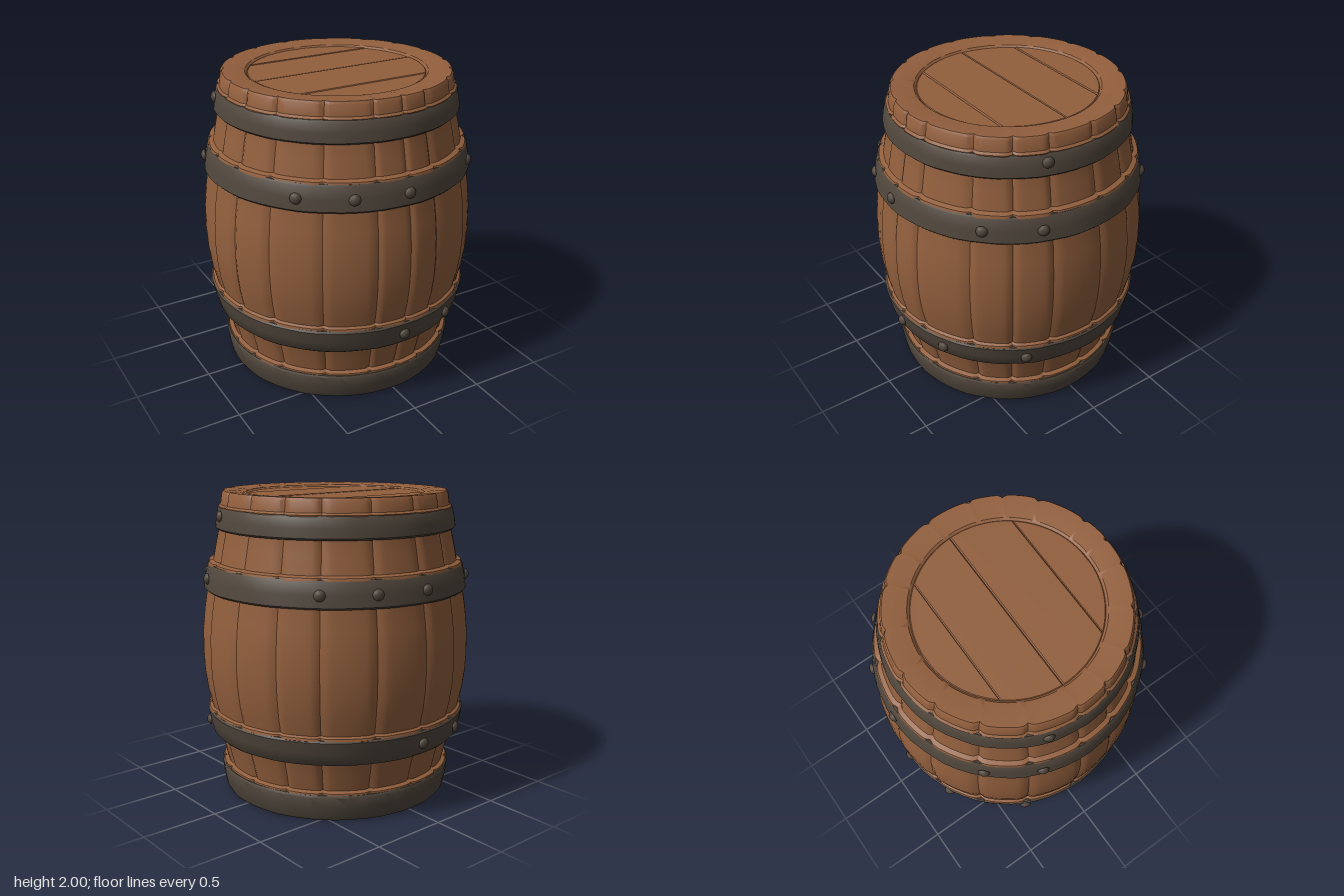
import * as THREE from 'three';
import { toCreasedNormals } from 'three/addons/utils/BufferGeometryUtils.js';

const wood = new THREE.MeshStandardMaterial({ color: 0x925f3d });
wood.name = 'wood';
const iron = new THREE.MeshStandardMaterial({ color: 0x50463c });
iron.name = 'iron';

let seed = 7;
const random = () => (seed = (seed * 16807) % 2147483647) / 2147483647;
const pts = (list) => list.map(([r, y]) => new THREE.Vector2(r, y));

function add(parent, name, geometry, material, x = 0, y = 0, z = 0) {
  const mesh = new THREE.Mesh(geometry, material);
  mesh.name = name;
  mesh.position.set(x, y, z);
  parent.add(mesh);
  return mesh;
}

// Bulged stave outline, with a small lip above every hoop and the top rim
const staveProfile = pts([
  [0.70, 0.03], [0.735, 0.04], [0.768, 0.175], [0.764, 0.19], [0.738, 0.2],
  [0.762, 0.3], [0.79, 0.41], [0.82, 0.5], [0.857, 0.565], [0.853, 0.582], [0.836, 0.592],
  [0.86, 0.7], [0.876, 0.82], [0.882, 0.95], [0.878, 1.1], [0.863, 1.24], [0.84, 1.38],
  [0.835, 1.5], [0.832, 1.535], [0.826, 1.55], [0.797, 1.56], [0.775, 1.67], [0.753, 1.77],
  [0.75, 1.88], [0.756, 1.903], [0.741, 1.915], [0.731, 1.985], [0.72, 2.0],
  [0.65, 1.997], [0.58, 1.988], [0.566, 1.975], [0.562, 1.94],
]);

// One stave: an arc of the lathe whose long edges sink into a groove
function staveGeometry(start, length) {
  const geo = new THREE.LatheGeometry(staveProfile, 10, start, length);
  const p = geo.attributes.position;
  const bulge = random() * 0.007;
  for (let i = 0; i < p.count; i++) {
    const x = p.getX(i), z = p.getZ(i), r = Math.hypot(x, z);
    const t = Math.floor(i / staveProfile.length) / 10;
    const edge = Math.min(t, 1 - t);
    const shift = edge < 0.01 ? -0.012 : edge < 0.11 ? bulge * 0.5 : bulge;
    const k = (r + (r > 0.6 ? shift : 0)) / r;
    p.setX(i, x * k);
    p.setZ(i, z * k);
  }
  return toCreasedNormals(geo, 0.6);
}

// Hoop: lathed band with slightly hammered surface
function hoopGeometry(profile) {
  const geo = new THREE.LatheGeometry(pts(profile), 64);
  const p = geo.attributes.position;
  for (let i = 0; i < p.count; i++) {
    const x = p.getX(i), y = p.getY(i), z = p.getZ(i);
    const a = Math.atan2(x, z);
    const k = 1 + 0.002 * Math.sin(a * 14 + y * 9) + 0.0015 * Math.sin(a * 23);
    p.setXYZ(i, x * k, y, z * k);
  }
  return toCreasedNormals(geo, 0.7);
}

const bandProfile = (y0, r0, y1, r1) => [
  [r0 - 0.08, y0], [r0 - 0.012, y0], [r0, y0 + 0.012],
  [(r0 + r1) / 2 + 0.003, (y0 + y1) / 2],
  [r1, y1 - 0.012], [r1 - 0.01, y1], [r1 - 0.08, y1],
];

// Plank cut from a disc between two chords
function lidPlank(z0, z1, radius) {
  const a0 = Math.asin(z0 / radius), a1 = Math.asin(z1 / radius);
  const shape = new THREE.Shape();
  shape.absarc(0, 0, radius, a0, a1, false);
  shape.absarc(0, 0, radius, Math.PI - a1, Math.PI - a0, false);
  const geo = new THREE.ExtrudeGeometry(shape, {
    depth: 0.03, curveSegments: 10, bevelEnabled: true, bevelSegments: 1,
    bevelSize: 0.007, bevelThickness: 0.007, bevelOffset: -0.007,
  });
  return geo.rotateX(-Math.PI / 2);
}

export function createModel() {
  const barrel = new THREE.Group();
  barrel.name = 'barrel';

  // Staves of uneven width
  const staves = new THREE.Group();
  staves.name = 'staves';
  barrel.add(staves);
  const widths = Array.from({ length: 18 }, () => 0.7 + 0.6 * random());
  const total = widths.reduce((a, b) => a + b, 0);
  let angle = 0.02;
  for (const w of widths) {
    const length = (w / total) * Math.PI * 2;
    add(staves, 'stave', staveGeometry(angle, length), wood);
    angle += length;
  }

  // Lid planks, set just below the rim
  const lid = new THREE.Group();
  lid.name = 'lid';
  barrel.add(lid);
  const cuts = [-0.566, -0.35, 0.02, 0.36, 0.566];
  for (let i = 0; i < 4; i++)
    add(lid, 'lidPlank', lidPlank(cuts[i], cuts[i + 1], 0.568), wood, 0, 1.94 + (i % 2) * 0.003, 0);
  add(lid, 'lidBacking', new THREE.CircleGeometry(0.58, 40).rotateX(-Math.PI / 2), wood, 0, 1.945, 0);

  // Iron hoops with rivets, the rivets repeated at half a turn
  const hoops = [
    { name: 'topHoop', profile: bandProfile(1.76, 0.786, 1.9, 0.766), y: 1.85, r: 0.773, rivets: [72] },
    { name: 'upperHoop', profile: bandProfile(1.37, 0.868, 1.54, 0.842), y: 1.453, r: 0.857, rivets: [-46, -23, 0, 45, 69] },
    { name: 'lowerHoop', profile: bandProfile(0.4, 0.836, 0.57, 0.868), y: 0.483, r: 0.855, rivets: [0, 26, 63] },
    {
      name: 'bottomHoop', y: 0, r: 0, rivets: [],
      profile: [[0.6, 0.06], [0.605, 0.025], [0.63, 0.012], [0.735, 0], [0.752, 0.008], [0.76, 0.025],
        [0.775, 0.1], [0.782, 0.168], [0.774, 0.18], [0.7, 0.18]],
    },
  ];
  const rivetGeo = new THREE.SphereGeometry(0.037, 10, 5, 0, Math.PI * 2, 0, Math.PI / 2);
  rivetGeo.rotateX(Math.PI / 2).scale(1, 1, 0.75);
  for (const h of hoops) {
    const group = new THREE.Group();
    group.name = h.name;
    barrel.add(group);
    add(group, h.name + 'Band', hoopGeometry(h.profile), iron);
    for (const deg of h.rivets)
      for (const a of [deg, deg + 180]) {
        const t = THREE.MathUtils.degToRad(a);
        const rivet = add(group, 'rivet', rivetGeo, iron, Math.sin(t) * h.r, h.y, Math.cos(t) * h.r);
        rivet.rotation.y = t;
      }
  }

  // Underside: recessed floor, square planking, crossed battens and bolts
  const base = new THREE.Group();
  base.name = 'underside';
  barrel.add(base);
  add(base, 'floor', new THREE.CircleGeometry(0.61, 40).rotateX(Math.PI / 2), wood, 0, 0.05, 0);
  for (let i = 0; i < 4; i++)
    add(base, 'floorPlank', new THREE.BoxGeometry(0.78, 0.03, 0.19), wood, 0, 0.037, (i - 1.5) * 0.197);
  const boltGeo = new THREE.SphereGeometry(0.036, 10, 6).scale(1, 0.5, 1);
  for (const s of [-1, 1]) {
    add(base, 'batten', new THREE.BoxGeometry(0.94, 0.03, 0.05), wood, 0, 0.025, s * 0.405);
    add(base, 'batten', new THREE.BoxGeometry(0.05, 0.03, 0.94), wood, s * 0.405, 0.022, 0);
    for (const t of [-1, 1]) {
      add(base, 'battenEnd', new THREE.BoxGeometry(0.08, 0.03, 0.07), wood, s * 0.46, 0.018, t * 0.4);
      add(base, 'battenEnd', new THREE.BoxGeometry(0.07, 0.03, 0.08), wood, s * 0.4, 0.016, t * 0.46);
      add(base, 'bolt', boltGeo, iron, s * 0.15, 0.022, t * 0.15);
    }
  }
  return barrel;
}
